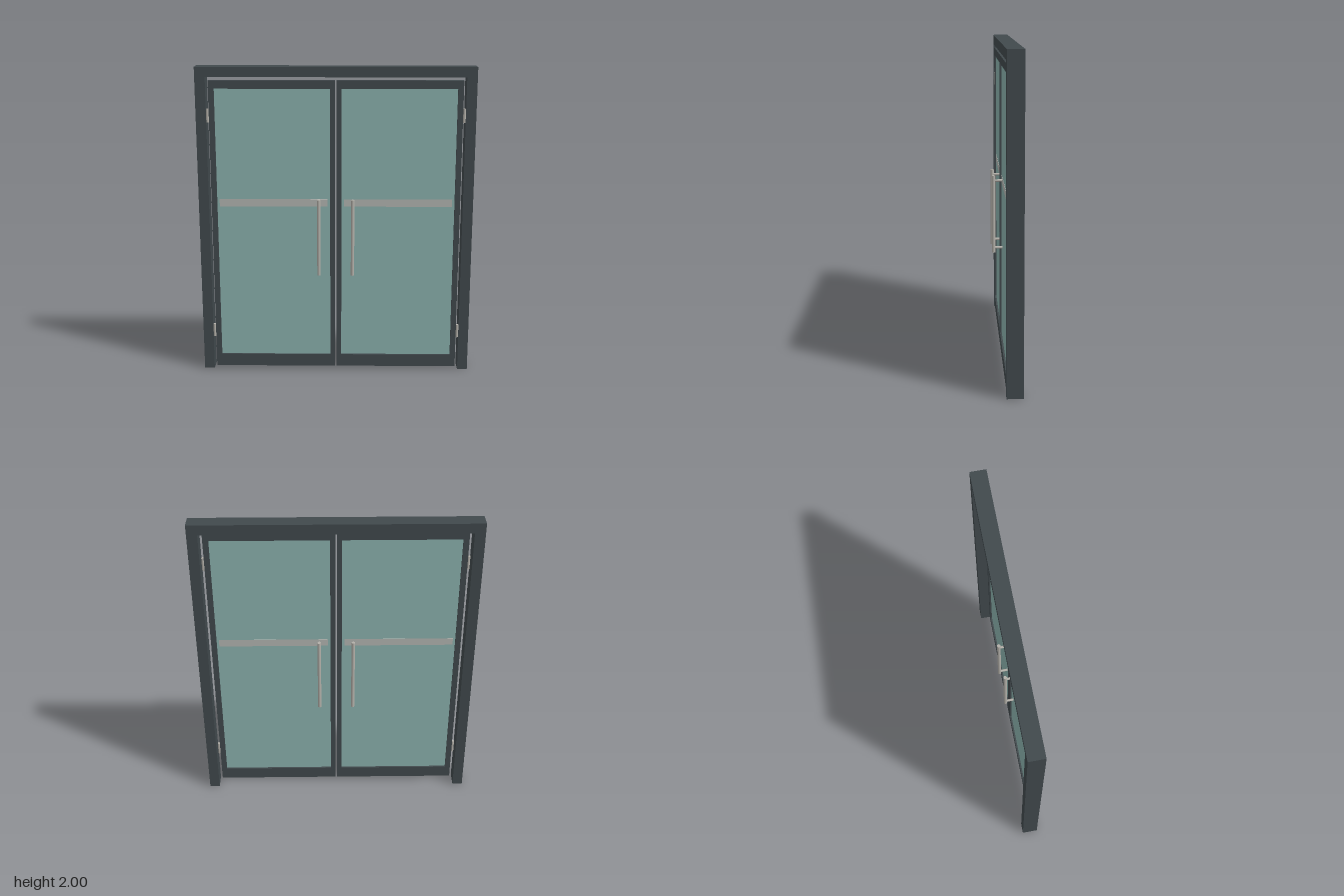
import * as THREE from 'three';

const material = (name, color) => new THREE.MeshStandardMaterial({ name, color });

export function createModel() {
  const frameMat = material('charcoal frame', 0x41494d);
  const glassMat = material('green glass', 0x8bb1ad);
  const bandMat = material('frosted band', 0xb3b6b2);
  const metalMat = material('brushed metal', 0xb3b0a9);

  const model = new THREE.Group();
  model.name = 'doubleDoor';

  // Box given by its low and high corner
  function box(parent, name, mat, [x0, y0, z0], [x1, y1, z1]) {
    const mesh = new THREE.Mesh(new THREE.BoxGeometry(Math.abs(x1 - x0), y1 - y0, z1 - z0), mat);
    mesh.position.set((x0 + x1) / 2, (y0 + y1) / 2, (z0 + z1) / 2);
    mesh.name = name;
    parent.add(mesh);
  }

  // Round bar, upright or lying along z
  function rod(parent, name, radius, length, x, y, z, alongZ = false) {
    const mesh = new THREE.Mesh(new THREE.CylinderGeometry(radius, radius, length, 20), metalMat);
    if (alongZ) mesh.rotation.x = Math.PI / 2;
    mesh.position.set(x, y, z);
    mesh.name = name;
    parent.add(mesh);
  }

  // Outer frame
  const back = -0.075, front = 0.025;
  box(model, 'header', frameMat, [-0.875, 1.937, back], [0.875, 2, front]);
  for (const s of [-1, 1]) {
    box(model, 'jamb', frameMat, [s * 0.81, 0, back], [s * 0.875, 1.937, front]);
  }

  // Two mirrored leaves
  const z0 = -0.01, z1 = 0.022, mid = (z0 + z1) / 2;
  const glassHalf = 0.005;
  for (const s of [-1, 1]) {
    const leaf = new THREE.Group();
    leaf.name = s > 0 ? 'leftLeaf' : 'rightLeaf';
    model.add(leaf);

    box(leaf, 'meetingStile', frameMat, [s * 0.005, 0.018, z0], [s * 0.036, 1.916, z1]);
    box(leaf, 'hingeStile', frameMat, [s * 0.758, 0.018, z0], [s * 0.793, 1.916, z1]);
    box(leaf, 'topRail', frameMat, [s * 0.036, 1.865, z0], [s * 0.758, 1.916, z1]);
    box(leaf, 'bottomRail', frameMat, [s * 0.036, 0.018, z0], [s * 0.758, 0.1, z1]);
    box(leaf, 'glass', glassMat, [s * 0.036, 0.1, mid - glassHalf], [s * 0.758, 1.865, mid + glassHalf]);

    // Band and pull handle on each side of the glass
    for (const f of [-1, 1]) {
      const za = mid + f * glassHalf, zb = za + f * 0.002;
      box(leaf, 'frostedBand', bandMat,
        [s * 0.053, 1.112, Math.min(za, zb)], [s * 0.743, 1.16, Math.max(za, zb)]);

      const handle = new THREE.Group();
      handle.name = f > 0 ? 'frontHandle' : 'backHandle';
      leaf.add(handle);
      const barZ = mid + f * 0.06;
      rod(handle, 'handleBar', 0.011, 0.5, s * 0.108, 0.918, barZ);
      for (const y of [0.7, 1.136]) {
        rod(handle, 'handlePost', 0.008, 0.056, s * 0.108, y, mid + f * 0.032, true);
      }
    }

    // Hinges in the gap beside the jamb
    for (const y of [0.268, 1.698]) rod(leaf, 'hinge', 0.0095, 0.086, s * 0.8015, y, 0.014);
  }
  return model;
}
